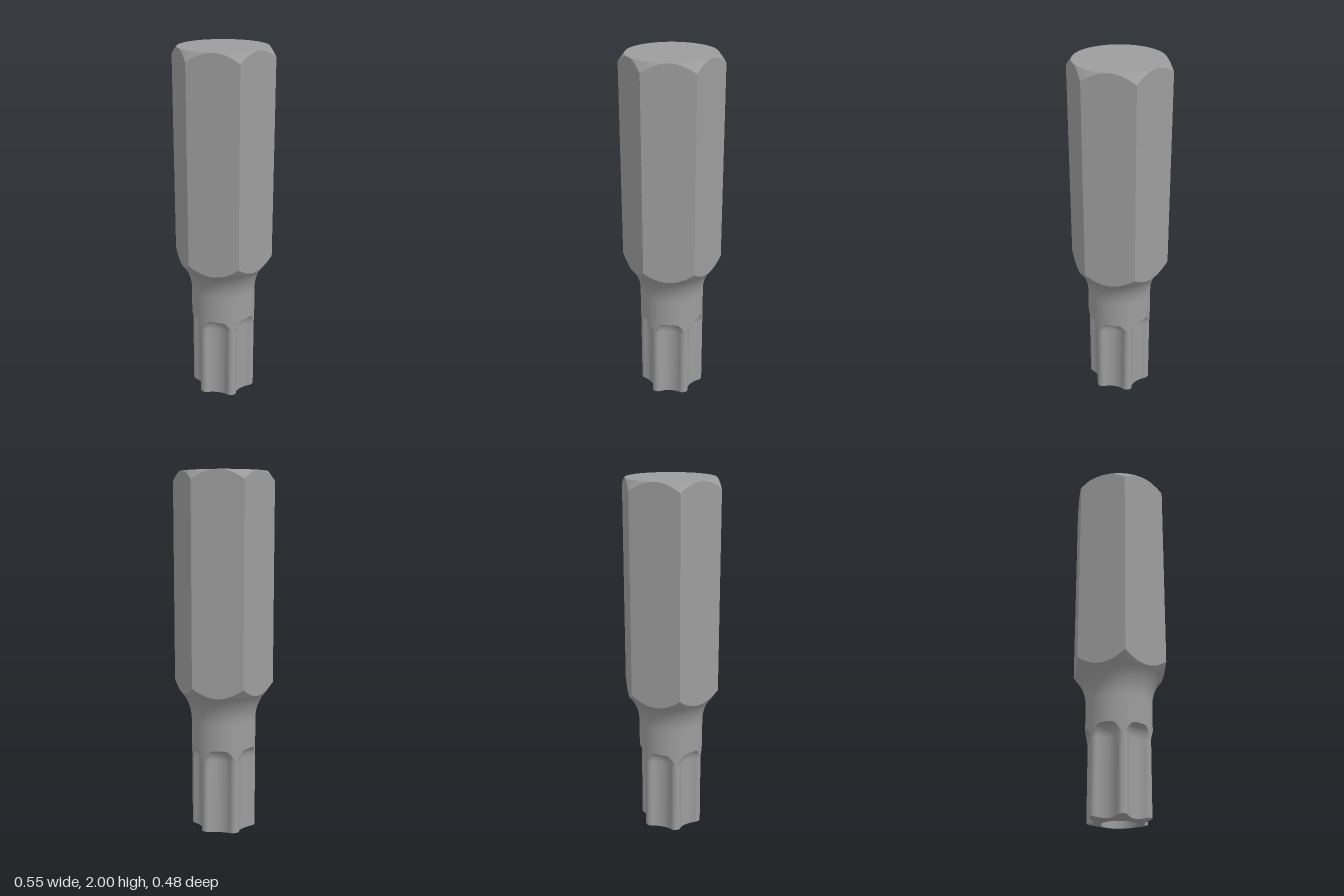
import * as THREE from 'three';
import { mergeVertices } from 'three/addons/utils/BufferGeometryUtils.js';

const SIDES = 6;
const SECTOR = Math.PI / 3;
const APOTHEM = 0.24;      // hex shank, centre to flat
const SHAFT = 0.18;        // round neck and lobe crest radius
const HOLE = 0.092;        // security pin hole
const HOLE_DEPTH = 0.3;
const FLOOR = 0.13;        // flute floor distance from the axis
const LOBE_R = 0.028;      // rounding of each lobe
const RUN_START = 0.425, RUN_END = 0.493; // flute run-out heights
const NECK_START = 0.64;
const FILLET = 0.243;

const material = new THREE.MeshStandardMaterial({ color: 0x9d9d9d });

const span = (a, b, n) => Array.from({ length: n + 1 }, (_, i) => a + (b - a) * i / n);

// Six-lobed section: flute arc tangent to a rounded lobe arc, over half a sector
const lobeDist = SHAFT - LOBE_R;
const FLUTE_R = (FLOOR ** 2 + lobeDist ** 2 - Math.sqrt(3) * FLOOR * lobeDist - LOBE_R ** 2)
  / (2 * LOBE_R - 2 * FLOOR + Math.sqrt(3) * lobeDist);
const fluteDist = FLOOR + FLUTE_R;
const lobeX = lobeDist * Math.sin(SECTOR / 2), lobeZ = lobeDist * Math.cos(SECTOR / 2);
const tangent = Math.atan2(lobeX, fluteDist - lobeZ);
const half = [
  ...span(0, tangent, 8).map((a) => [FLUTE_R * Math.sin(a), fluteDist - FLUTE_R * Math.cos(a)]),
  ...span(-tangent, SECTOR / 2, 8).slice(1).map((b) => [lobeX + LOBE_R * Math.sin(b), lobeZ + LOBE_R * Math.cos(b)]),
];
const section = [...half.slice(1).reverse().map(([x, z]) => [-x, z]), ...half];

// Columns: phi is the angle from the flute centre, x and z the point on the section
const sector = (turn) => section.map(([x, z]) => ({ turn, x, z, phi: Math.asin(x / SHAFT) }));
const ring = [];
for (let i = 0; i < SIDES; i++) ring.push(...sector(i * SECTOR).slice(0, -1));
ring.push(sector((SIDES - 1) * SECTOR).at(-1));

// Surface from columns; profile(column) lists [radius, y, angle in sector] per row
function sweep(columns, profile) {
  const positions = [], index = [];
  let rows = 0;
  columns.forEach((column) => {
    const points = profile(column);
    rows = points.length;
    points.forEach(([r, y, angle = column.phi]) => {
      const theta = column.turn + angle;
      positions.push(r * Math.sin(theta), y, r * Math.cos(theta));
    });
  });
  for (let c = 0; c < columns.length - 1; c++) {
    for (let r = 0; r < rows - 1; r++) {
      const a = c * rows + r, b = a + rows;
      index.push(a, b, b + 1, a, b + 1, a + 1);
    }
  }
  let geometry = new THREE.BufferGeometry();
  geometry.setAttribute('position', new THREE.Float32BufferAttribute(positions, 3));
  geometry.setIndex(index);
  geometry = mergeVertices(geometry, 1e-5);
  geometry.computeVertexNormals();
  return geometry;
}

// Profile rules
const hexRadius = (phi) => APOTHEM / Math.cos(phi);
const tipY = (r) => 0.018 * (r - HOLE) / (SHAFT - HOLE);
const topY = (r) => 2 - (r - APOTHEM) * 1.35;
const filletY = (r) => NECK_START + Math.sqrt(FILLET ** 2 - (FILLET - (r - SHAFT)) ** 2);
const neckY = (r) => (r <= APOTHEM ? filletY(r) : filletY(APOTHEM) + (r - APOTHEM) * 1.45);

// Outward shift that brings a section point to the round shaft, and its height
const fullShift = ({ x, z }) => Math.max(0, Math.sqrt(SHAFT ** 2 - x * x) - z);
const runOutY = (shift) => {
  const k = Math.min(1, shift / (SHAFT - FLOOR));
  return RUN_START + (RUN_END - RUN_START) * Math.sqrt(1 - (1 - k) ** 2);
};
const sectionRow = ({ x, z }, shift, y) => [Math.hypot(x, z + shift), y, Math.atan2(x, z + shift)];
const tipRow = (column) => sectionRow(column, 0, tipY(Math.hypot(column.x, column.z)));

export function createModel() {
  const group = new THREE.Group();
  const add = (name, geometry, turn = 0) => {
    const mesh = new THREE.Mesh(geometry, material);
    mesh.name = name;
    mesh.rotation.y = turn;
    group.add(mesh);
  };

  // Lobed driving tip with curved flute run-outs
  add('lobedTip', sweep(ring, (column) => [
    tipRow(column),
    ...span(0, 1, 12).map((s) => {
      const shift = fullShift(column) * s * s;
      return sectionRow(column, shift, runOutY(shift));
    }),
  ]));

  // Round shaft and flared neck up to the hex
  add('neck', sweep(ring, (column) => {
    const rim = hexRadius(column.phi);
    const flare = span(0, 1, 14).map((s) => {
      const r = SHAFT + (rim - SHAFT) * s * s;
      return [r, neckY(r)];
    });
    return [[SHAFT, runOutY(fullShift(column))], ...flare];
  }));

  // Six hex flats
  const flat = sweep(sector(0), ({ phi }) => {
    const r = hexRadius(phi);
    return [[r, neckY(r)], [r, topY(r)]];
  });
  for (let i = 0; i < SIDES; i++) add('hexFlat', flat, i * SECTOR);

  // Chamfered top corners and end cap
  add('topChamfer', sweep(ring, ({ phi }) => {
    const r = hexRadius(phi);
    return [[r, topY(r)], [APOTHEM, 2]];
  }));
  add('topCap', sweep(ring, () => [[APOTHEM, 2], [0, 2]]));

  // Tip face with its blind pin hole
  add('tipFace', sweep(ring, (column) => [[HOLE, 0], tipRow(column)]));
  add('pinHoleWall', sweep(ring, () => [[HOLE, HOLE_DEPTH], [HOLE, 0]]));
  add('pinHoleEnd', sweep(ring, () => [[0, HOLE_DEPTH], [HOLE, HOLE_DEPTH]]));

  return group;
}
